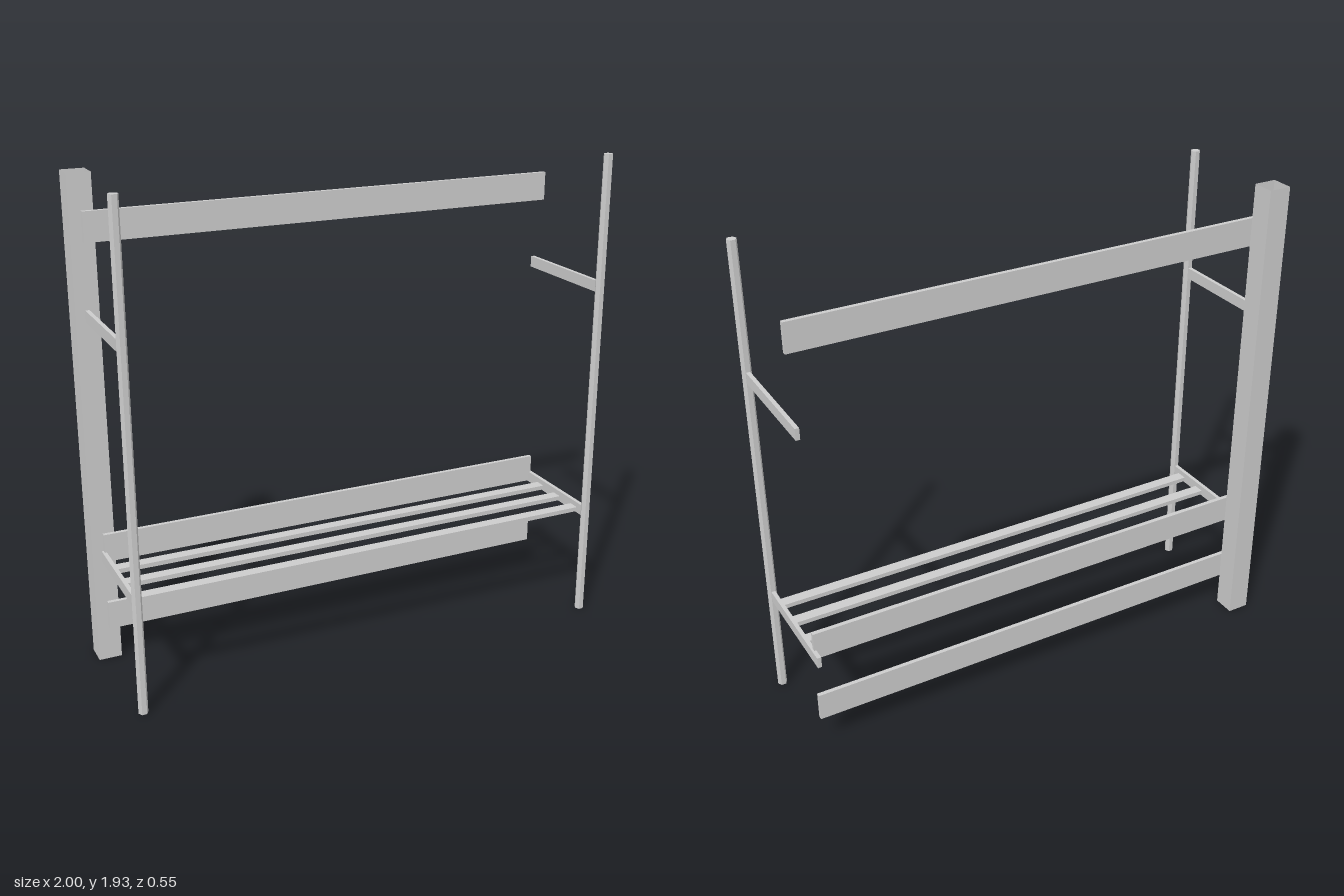
import * as THREE from 'three';

const material = new THREE.MeshStandardMaterial({ color: 0xcccccc, flatShading: true });
const thinMaterial = new THREE.MeshStandardMaterial({ color: 0xcccccc, flatShading: true, side: THREE.DoubleSide });

export function createModel() {
  const model = new THREE.Group();
  model.name = 'rack';

  const height = 1.935;
  const leftX = -0.955, rightX = 0.98;
  const midX = (leftX + rightX) / 2, span = rightX - leftX;

  const add = (name, geometry, x, y, z, mat = material) => {
    const mesh = new THREE.Mesh(geometry, mat);
    mesh.name = name;
    mesh.position.set(x, y, z);
    model.add(mesh);
  };

  // Box given by its lower and upper limits in y and z
  const addBar = (name, x, width, y0, y1, z0, z1) =>
    add(name, new THREE.BoxGeometry(width, y1 - y0, z1 - z0), x, (y0 + y1) / 2, (z0 + z1) / 2);

  // Square hollow post, open at both ends
  const side = 0.091;
  const tube = new THREE.CylinderGeometry(side / Math.SQRT2, side / Math.SQRT2, height, 4, 1, true);
  tube.rotateY(Math.PI / 4);
  add('cornerPost', tube, leftX, height / 2, -0.225, thinMaterial);

  // Hexagonal front poles with two arms each
  for (const x of [leftX, rightX]) {
    const pole = new THREE.CylinderGeometry(0.019, 0.019, height, 6);
    pole.rotateY(Math.PI / 6);
    add('frontPole', pole, x, height / 2, 0.26);
    for (const y of [0.425, 1.39]) addBar('sideArm', x, 0.016, y, y + 0.045, -0.226, 0.25);
  }

  // Wide rails along the back
  for (const y of [0.139, 0.43, 1.686]) addBar('backRail', midX, span, y, y + 0.114, -0.179, -0.162);

  // Shelf slats
  for (const z of [-0.067, 0.061, 0.189]) addBar('shelfSlat', midX, span, 0.431, 0.449, z - 0.023, z + 0.023);

  return model;
}
